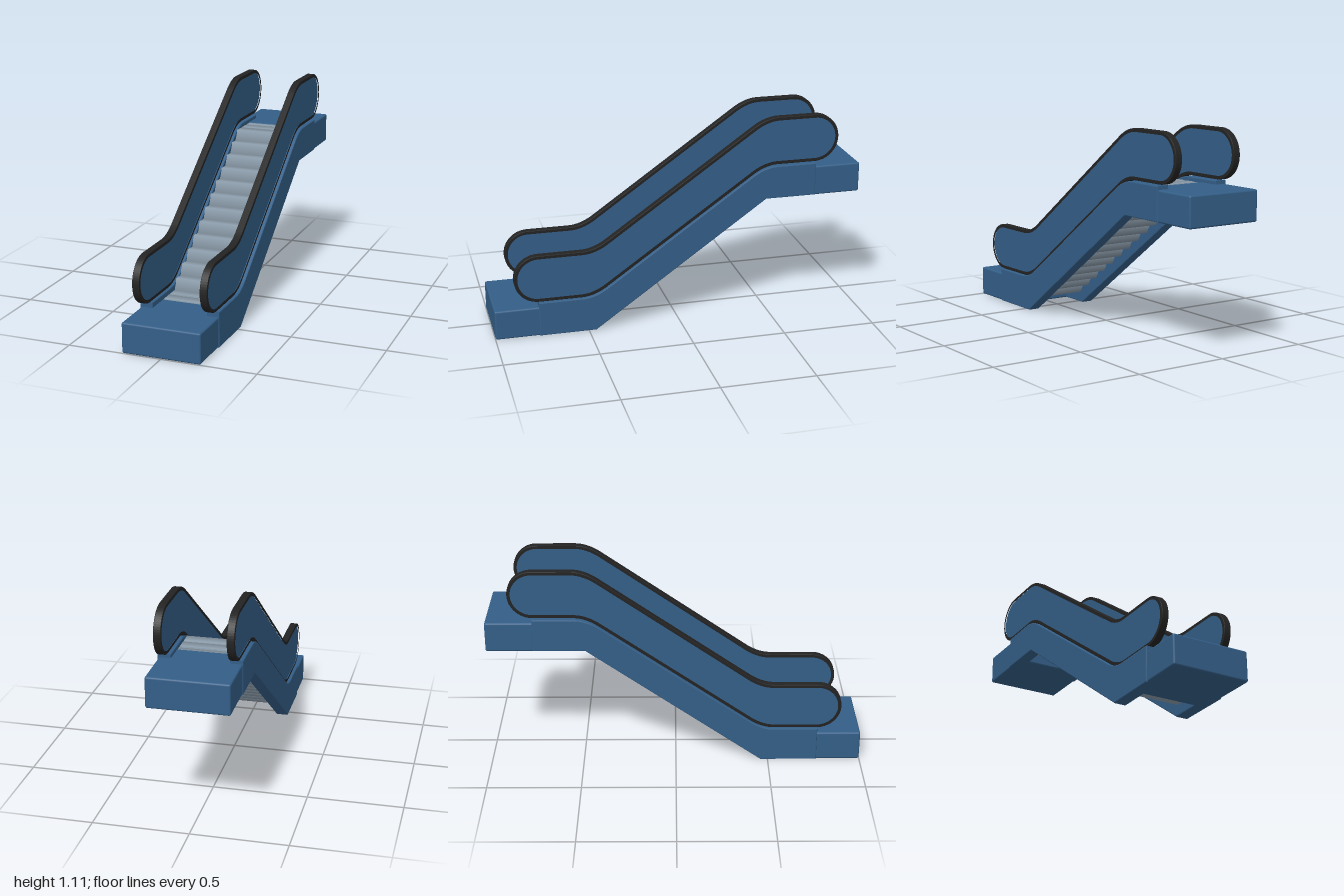
import * as THREE from 'three';
import { RoundedBoxGeometry } from 'three/addons/geometries/RoundedBoxGeometry.js';

const blue = new THREE.MeshStandardMaterial({ color: 0x345f88 });
blue.name = 'bluePaint';
const black = new THREE.MeshStandardMaterial({ color: 0x232323 });
black.name = 'blackRubber';
const grey = new THREE.MeshStandardMaterial({ color: 0x8797a5 });
grey.name = 'stepMetal';

const SLOPE = 0.7;
const FILLET = 0.07;

// Profiles are drawn in (s, y), where s runs up the stairs towards the back (s = -z).
// Rounds the corner at (s, y) between a level run and the incline.
function bend(shape, s, y, fromLevel, dir) {
  const level = [s + (fromLevel ? -dir : dir) * FILLET, y];
  const sloped = [s + (fromLevel ? dir : -dir) * FILLET, y + (fromLevel ? dir : -dir) * FILLET * SLOPE];
  const [a, b] = fromLevel ? [level, sloped] : [sloped, level];
  shape.lineTo(...a);
  shape.quadraticCurveTo(s, y, ...b);
}

// Closed balustrade outline with round ends, shrunk inwards by d
function balustradeOutline(d, Type = THREE.Shape) {
  const o = new Type();
  const k = d * Math.hypot(1, SLOPE);
  const top = 0.773 - k, low = 0.5145 + k;
  const r = 0.13 - d;
  o.moveTo(-0.76, 0.32 + r);
  bend(o, (0.45 - d - top) / SLOPE, 0.45 - d, true, 1);
  bend(o, (1.105 - d - top) / SLOPE, 1.105 - d, false, 1);
  o.lineTo(0.745, 0.975 + r);
  o.absarc(0.745, 0.975, r, Math.PI / 2, -Math.PI / 2, true);
  bend(o, (0.845 + d - low) / SLOPE, 0.845 + d, true, -1);
  bend(o, (0.19 + d - low) / SLOPE, 0.19 + d, false, -1);
  o.lineTo(-0.76, 0.32 - r);
  o.absarc(-0.76, 0.32, r, -Math.PI / 2, Math.PI / 2, true);
  return o;
}

function skirtOutline() {
  const o = new THREE.Shape();
  o.moveTo(-0.765, 0);
  o.lineTo(-0.46, 0);
  o.lineTo(0.475, 0.66);
  o.lineTo(0.75, 0.66);
  o.lineTo(0.75, 0.84);
  bend(o, 0.465, 0.84, true, -1);
  bend(o, -0.464, 0.19, false, -1);
  o.lineTo(-0.765, 0.19);
  o.closePath();
  return o;
}

// Extrudes a profile across x, centred on x = 0
function acrossX(shape, width, bevel) {
  const geo = new THREE.ExtrudeGeometry(shape, {
    depth: width - 2 * bevel, curveSegments: 16,
    bevelEnabled: bevel > 0, bevelThickness: bevel, bevelSize: bevel,
    bevelOffset: -bevel, bevelSegments: 2,
  });
  geo.translate(0, 0, -(width - 2 * bevel) / 2);
  return geo.rotateY(Math.PI / 2);
}

export function createModel() {
  const model = new THREE.Group();
  model.name = 'escalator';
  const add = (name, geo, mat, x = 0, y = 0, z = 0) => {
    const mesh = new THREE.Mesh(geo, mat);
    mesh.name = name;
    mesh.position.set(x, y, z);
    model.add(mesh);
    return mesh;
  };

  // Landings
  const landing = new RoundedBoxGeometry(0.42, 0.162, 0.375, 3, 0.01);
  add('lowerLanding', landing, blue, 0, 0.081, 0.8125);
  add('upperLanding', landing, blue, 0, 0.739, -0.8125);

  // Skirts, panels and handrails on both sides
  const skirt = acrossX(skirtOutline(), 0.068, 0.005);
  const panel = acrossX(balustradeOutline(0.012), 0.026, 0);
  const railShape = balustradeOutline(0);
  railShape.holes.push(balustradeOutline(0.015, THREE.Path));
  const rail = acrossX(railShape, 0.038, 0.003);
  for (const [side, label] of [[1, 'left'], [-1, 'right']]) {
    add(label + 'Skirt', skirt, blue, side * 0.181);
    add(label + 'Panel', panel, blue, side * 0.18);
    add(label + 'Handrail', rail, black, side * 0.18);
  }

  // Steps: six-sided bars with soft shading, levelling out at both ends
  const R = 0.06;
  const step = new THREE.CylinderGeometry(R, R, 0.3, 6, 1);
  step.rotateY(Math.PI / 6).rotateZ(Math.PI / 2);
  // turn so that one flat side is the tread
  step.rotateX(flatTopAngle(step));
  const drop = R * Math.cos(Math.PI / 6);
  for (let i = -1; i <= 14; i++) {
    const level = THREE.MathUtils.clamp(i, 0, 12);
    add('step', step, grey, 0, 0.163 + 0.0545 * level - drop, 0.505 - 0.081 * i);
  }
  // Level plates closing the gaps beside the landings
  const plate = new THREE.BoxGeometry(0.3, 0.03, 0.12);
  add('lowerStepPlate', plate, grey, 0, 0.147, 0.57);
  add('upperStepPlate', plate, grey, 0, 0.801, -0.57);
  return model;
}

// Angle about x that brings a flat side of a six-sided bar to the top
function flatTopAngle(geo) {
  const p = geo.attributes.position;
  const corner = Math.atan2(p.getZ(0), p.getY(0));
  return Math.PI / 6 - corner;
}
